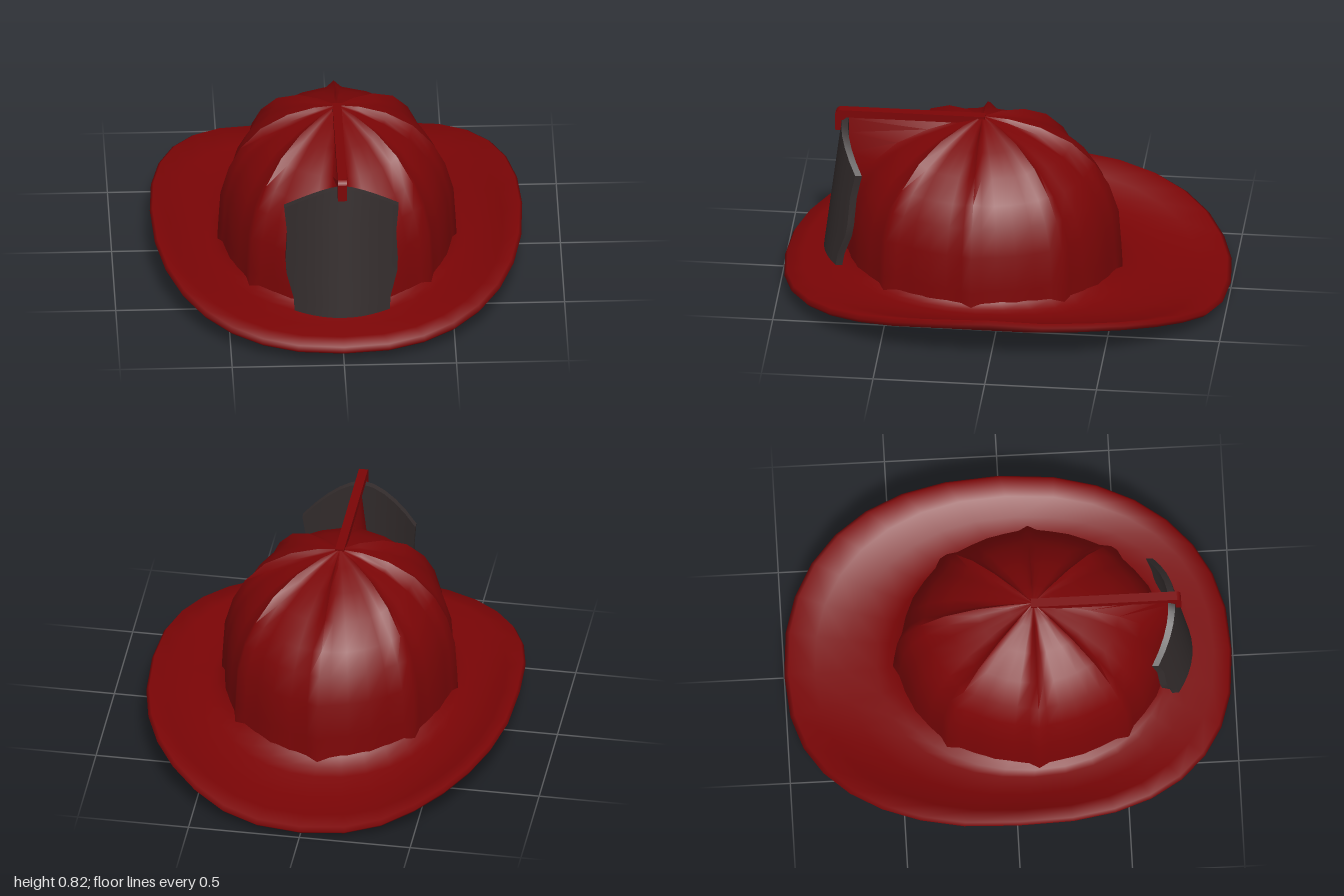
import * as THREE from 'three';
import { toCreasedNormals } from 'three/addons/utils/BufferGeometryUtils.js';

const red = new THREE.MeshStandardMaterial({ color: 0x7b0506, side: THREE.DoubleSide });
red.name = 'helmet red';
const black = new THREE.MeshStandardMaterial({ color: 0x342d2d });
black.name = 'shield charcoal';

// Skin a stack of closed rings, each an array of [x, y, z]
function loft(rings, crease) {
  const n = rings[0].length, index = [];
  for (let i = 0; i < rings.length - 1; i++) {
    for (let j = 0; j < n; j++) {
      const a = i * n + j, b = i * n + (j + 1) % n;
      index.push(a, a + n, b, b, a + n, b + n);
    }
  }
  const g = new THREE.BufferGeometry();
  g.setAttribute('position', new THREE.Float32BufferAttribute(rings.flat(2), 3));
  g.setIndex(index);
  return toCreasedNormals(g, crease);
}

// Linear interpolation in a table of [position, value]
function sample(table, p) {
  let i = 0;
  while (i < table.length - 2 && p > table[i + 1][0]) i++;
  const [a, va] = table[i], [b, vb] = table[i + 1];
  return va + (vb - va) * (p - a) / (b - a);
}

function part(group, name, geometry, material) {
  const mesh = new THREE.Mesh(geometry, material);
  mesh.name = name;
  group.add(mesh);
  return mesh;
}

const CENTRE = 0.11; // dome centre along z
const ellipse = (c, s, rx, rz) => 1 / Math.hypot(c / rx, s / rz);

// Open eight-panelled dome: raised seams, sunken panels, and a web under the crest
function domeGeometry() {
  const profile = [[1.01, 0.08], [1, 0.2], [0.98, 0.37], [0.91, 0.5], [0.81, 0.6],
    [0.64, 0.7], [0.415, 0.77], [0.19, 0.805], [0.001, 0.815]];
  const panel = [[0, 0], [5, 0.85], [13, 1], [22.5, 0.95], [32, 1], [40, 0.85]]; // degrees, sink
  const frontSeam = 2;
  return loft(profile.map(([k, y]) => {
    const ring = [];
    for (let seam = 0; seam < 8; seam++) {
      for (const [degrees, sink] of panel) {
        const a = (seam * 45 + degrees) * Math.PI / 180, c = Math.cos(a), s = Math.sin(a);
        let r = ellipse(c, s, 0.53, 0.62) * k * (1 - 0.042 * sink);
        if (seam === frontSeam && degrees === 0) r = Math.max(r, 0.6); // web
        ring.push([c * r, y - 0.12 * k * (1 - k) * sink, CENTRE + s * r]);
      }
    }
    return ring;
  }), 1.2);
}

// Brim: sides curl up, the long back dips, a fillet rises to the dome
function brimGeometry() {
  const rimHeight = [[-1, 0.052], [-0.85, 0.13], [-0.7, 0.18], [-0.5, 0.213], [0, 0.238],
    [0.25, 0.222], [0.5, 0.187], [0.75, 0.137], [1, 0.084]];
  const steps = 32;
  // Each pair: distance across the brim, then height (0 top, 1 underside)
  const section = [[0, 1], [0.25, 1], [0.5, 1], [0.75, 1], [0.96, 1], [1, 0.55],
    [0.965, 0], [0.75, 0], [0.5, 0], [0.25, 0], [0.16, 0], [0.08, 0], [0, 0]];
  return loft(section.map(([f, down]) => {
    const ring = [];
    for (let j = 0; j < steps; j++) {
      const a = j / steps * Math.PI * 2, c = Math.cos(a), s = Math.sin(a);
      const e = 2 / (s < 0 ? 2.3 : 2.33);
      const rx = 0.83 * Math.sign(c) * Math.abs(c) ** e;
      const rz = Math.sign(s) * Math.abs(s) ** e * (s < 0 ? 1 : 0.995);
      const ix = 0.485 * c, iz = CENTRE + 0.56 * s;
      const inner = s < 0 ? 0.125 - 0.035 * s * s : 0.125;
      const mid = 0.14 - (s < 0 ? 0.1 : 0.03) * s * s;
      const rim = sample(rimHeight, rz);
      const thick = 0.034 + 0.01 * c * c * f;
      const fillet = (1 - down) * 0.05 * Math.max(0, 1 - f / 0.25) ** 2;
      const y = inner * (1 - f) * (1 - 2 * f) + 4 * mid * f * (1 - f) + rim * f * (2 * f - 1);
      ring.push([ix + (rx - ix) * f, y + fillet - down * thick, iz + (rz - iz) * f]);
    }
    return ring;
  }), 2);
}

// Curved front shield with a peaked top, leaning back
function shieldGeometry() {
  const rows = [[0.14, 0.212], [0.2, 0.216], [0.31, 0.247], [0.37, 0.25], [0.5, 0.243],
    [0.59, 0.252], [0.765, 0.255]]; // height, half width
  const cols = 10, thick = 0.03;
  const ring = ([y0, w], peak, t) => {
    const pts = [];
    for (const side of [1, -1]) {
      for (let j = 0; j <= cols; j++) {
        const u = side * (1 - 2 * j / cols), x = u * w;
        const y = y0 - (peak ? 0.145 * Math.abs(u) ** 1.6 : 0);
        const lean = 0.82 - (y - 0.14) * 0.125;
        pts.push([x, y, lean - 1.6 * x * x - thick / 2 + side * t / 2]);
      }
    }
    return pts;
  };
  const last = rows.length - 1;
  return loft([
    ring(rows[0], false, 0),
    ...rows.map((r, i) => ring(r, i === last, thick)),
    ring(rows[last], true, 0),
  ], 0.6);
}

export function createModel() {
  const helmet = new THREE.Group();
  helmet.name = 'helmet';
  part(helmet, 'dome', domeGeometry(), red);
  part(helmet, 'brim', brimGeometry(), red);
  part(helmet, 'frontShield', shieldGeometry(), black);

  // Crest bar with a hook holding the shield
  const crest = new THREE.Group();
  crest.name = 'crest';
  helmet.add(crest);
  part(crest, 'crestBar', new THREE.BoxGeometry(0.04, 0.035, 0.65), red).position.set(0, 0.803, 0.425);
  const tip = part(crest, 'crestTip', new THREE.CylinderGeometry(0.026, 0.026, 0.04, 10), red);
  tip.rotation.z = Math.PI / 2;
  tip.position.set(0, 0.795, 0.744);
  part(crest, 'shieldHook', new THREE.BoxGeometry(0.04, 0.08, 0.026), red).position.set(0, 0.76, 0.757);
  return helmet;
}
